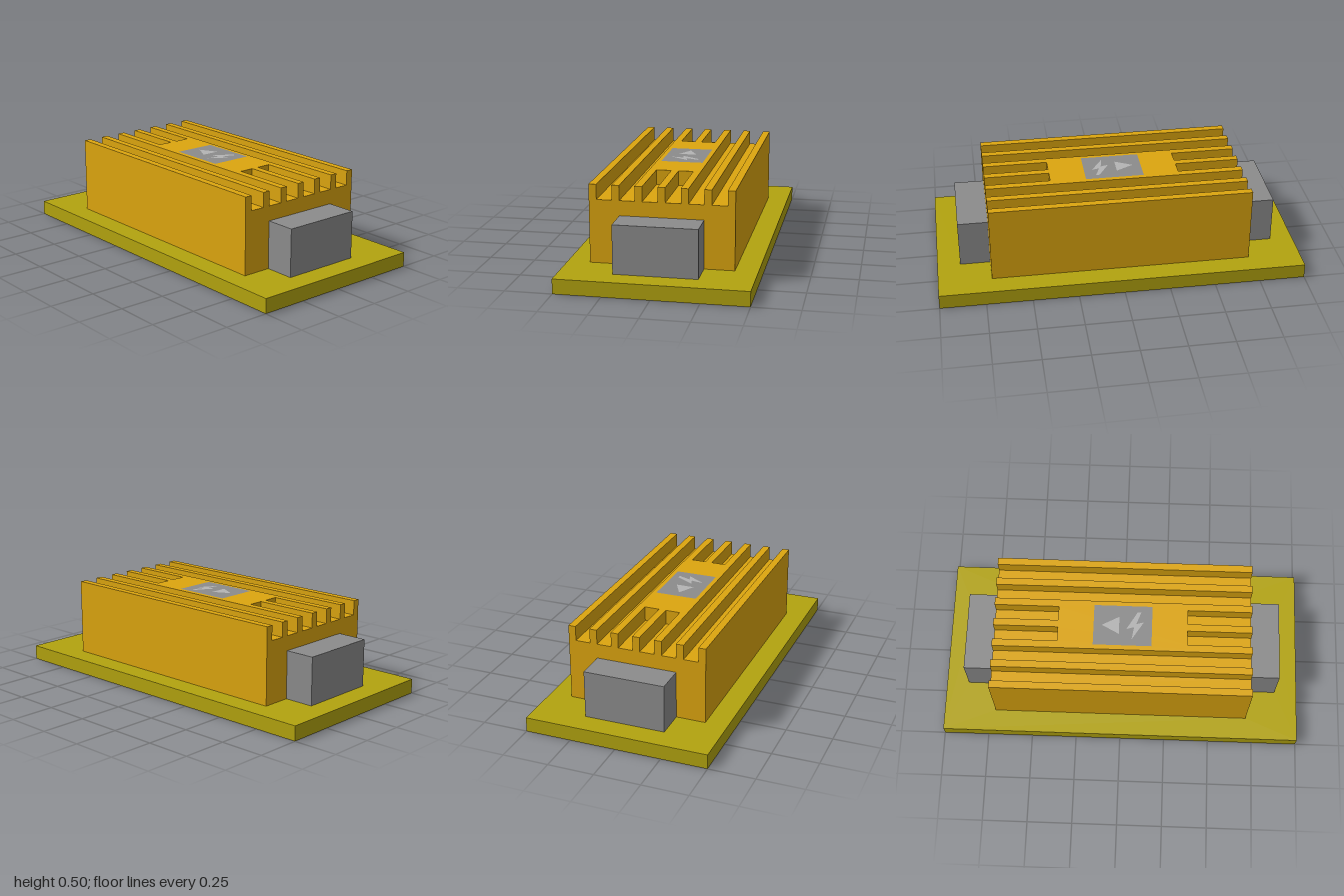
import * as THREE from 'three';
import { mergeGeometries } from 'three/addons/utils/BufferGeometryUtils.js';

const BASE_Y = 0.08, FLOOR_Y = 0.42, TOP_Y = 0.5, PORT_Y = 0.34;
const BX = 0.71, BZ = 0.38;          // body half sizes
const PX = 0.875, PZ = 0.22;         // connector reach and half width
const SLOT_X = 0.355;                // inner end of the short slots
const LONG = [[0.14, 0.22], [0.26, 0.34]], SHORT = [0.02, 0.1];

const outline = pts => new THREE.Shape(pts.map(([x, y]) => new THREE.Vector2(x, y)));
const rect = (x0, z0, x1, z1) => [[x0, z0], [x1, z0], [x1, z1], [x0, z1]];

// Horizontal sheet facing up, from [x, z] points
function sheet(pts, y, hole) {
  const shape = outline(pts.map(([x, z]) => [x, -z]));
  if (hole) shape.holes.push(outline(hole.map(([x, z]) => [x, -z])));
  return new THREE.ShapeGeometry(shape).rotateX(-Math.PI / 2).translate(0, y, 0);
}

// Upright walls along [x, z] points, facing right of the travel direction
function walls(pts, y0, y1) {
  return mergeGeometries(pts.slice(1).map((b, i) => {
    const a = pts[i], dx = b[0] - a[0], dz = b[1] - a[1];
    return new THREE.PlaneGeometry(Math.hypot(dx, dz), y1 - y0)
      .rotateY(Math.atan2(-dz, dx))
      .translate((a[0] + b[0]) / 2, (y0 + y1) / 2, (a[1] + b[1]) / 2);
  }));
}

// Mirror a path, keeping its walls facing the same way relative to the part
function mirror(pts, sx, sz) {
  const out = pts.map(([x, z]) => [x * sx, z * sz]);
  return sx * sz < 0 ? out.reverse() : out;
}

function part(name, color, geometries) {
  const material = new THREE.MeshStandardMaterial({ color, side: THREE.DoubleSide });
  const mesh = new THREE.Mesh(mergeGeometries(geometries), material);
  mesh.name = name;
  return mesh;
}

// Hollow base tray, open below, cut out under the body and connectors
function makeBase() {
  const rim = [[-1, 0.5], [1, 0.5], [1, -0.5], [-1, -0.5], [-1, 0.5]];
  const cut = [
    [-BX, BZ], [BX, BZ], [BX, PZ], [PX, PZ], [PX, -PZ], [BX, -PZ],
    [BX, -BZ], [-BX, -BZ], [-BX, -PZ], [-PX, -PZ], [-PX, PZ], [-BX, PZ],
  ];
  return part('basePlate', 0xb2a30f, [sheet(rim.slice(0, 4), BASE_Y, cut), walls(rim, 0, BASE_Y)]);
}

// Hollow finned body
function makeBody() {
  const geos = [];
  const [s0, s1] = SHORT;

  for (const s of [1, -1]) {
    // long side, fin tops and full-length grooves
    geos.push(walls(mirror([[-BX, BZ], [BX, BZ]], 1, s), BASE_Y, TOP_Y));
    geos.push(sheet(rect(-BX, s * 0.22, BX, s * 0.26), TOP_Y));
    geos.push(sheet(rect(-BX, s * 0.34, BX, s * BZ), TOP_Y));
    for (const [a, b] of LONG) {
      geos.push(sheet(rect(-BX, s * a, BX, s * b), FLOOR_Y));
      geos.push(walls(mirror([[-BX, a], [BX, a]], 1, s), FLOOR_Y, TOP_Y));
      geos.push(walls(mirror([[BX, b], [-BX, b]], 1, s), FLOOR_Y, TOP_Y));
    }
    // short slots at both ends
    for (const e of [1, -1]) {
      geos.push(sheet(rect(e * SLOT_X, s * s0, e * BX, s * s1), FLOOR_Y));
      geos.push(walls(mirror([[BX, s1], [SLOT_X, s1], [SLOT_X, s0], [BX, s0]], e, s), FLOOR_Y, TOP_Y));
    }
  }

  // middle top surface, notched by the short slots
  const edge = [[BX, 0.14], [BX, s1], [SLOT_X, s1], [SLOT_X, s0], [BX, s0]];
  const rightEdge = [...edge, ...mirror(edge, 1, -1)];
  geos.push(sheet([...rightEdge, ...rightEdge.map(([x, z]) => [-x, -z])], TOP_Y));

  // end plates: toothed top, opening for the connector below
  const half = [[PZ, PORT_Y], [PZ, BASE_Y], [BZ, BASE_Y], [BZ, TOP_Y]];
  for (const [a, b] of [LONG[1], LONG[0], SHORT]) {
    half.push([b, TOP_Y], [b, FLOOR_Y], [a, FLOOR_Y], [a, TOP_Y]);
  }
  const profile = outline([...half, ...half.map(([z, y]) => [-z, y]).reverse()]);
  for (const e of [1, -1]) {
    geos.push(new THREE.ShapeGeometry(profile).rotateY(e * Math.PI / 2).translate(e * BX, 0, 0));
  }
  return part('finnedBody', 0xdca50f, geos);
}

// Hollow connector block on one end
function makeConnector(name, e) {
  const path = mirror([[BX, PZ], [PX, PZ], [PX, -PZ], [BX, -PZ]], e, 1);
  return part(name, 0x8c8c8c, [sheet(path, PORT_Y), walls(path, BASE_Y, PORT_Y)]);
}

// Flat label with an arrow and a spark symbol
function makeLabel() {
  const label = new THREE.Group();
  label.name = 'label';
  const arrow = [[-0.115, 0], [-0.02, 0.05], [-0.02, -0.05]];
  const spark = [[0.08, -0.08], [0.02, 0.02], [0.062, 0.008], [0.05, 0.08],
    [0.115, -0.022], [0.073, -0.01], [0.1, -0.08]];
  label.add(
    part('labelPlate', 0x8c8c8c, [sheet(rect(-0.16, -0.115, 0.16, 0.115), TOP_Y + 0.001)]),
    part('arrowSymbol', 0xb4b4b4, [sheet(arrow, TOP_Y + 0.002)]),
    part('sparkSymbol', 0xb4b4b4, [sheet(spark, TOP_Y + 0.002)]),
  );
  return label;
}

export function createModel() {
  const model = new THREE.Group();
  model.name = 'finnedPowerUnit';
  model.add(makeBase(), makeBody(), makeConnector('leftConnector', 1),
    makeConnector('rightConnector', -1), makeLabel());
  return model;
}
